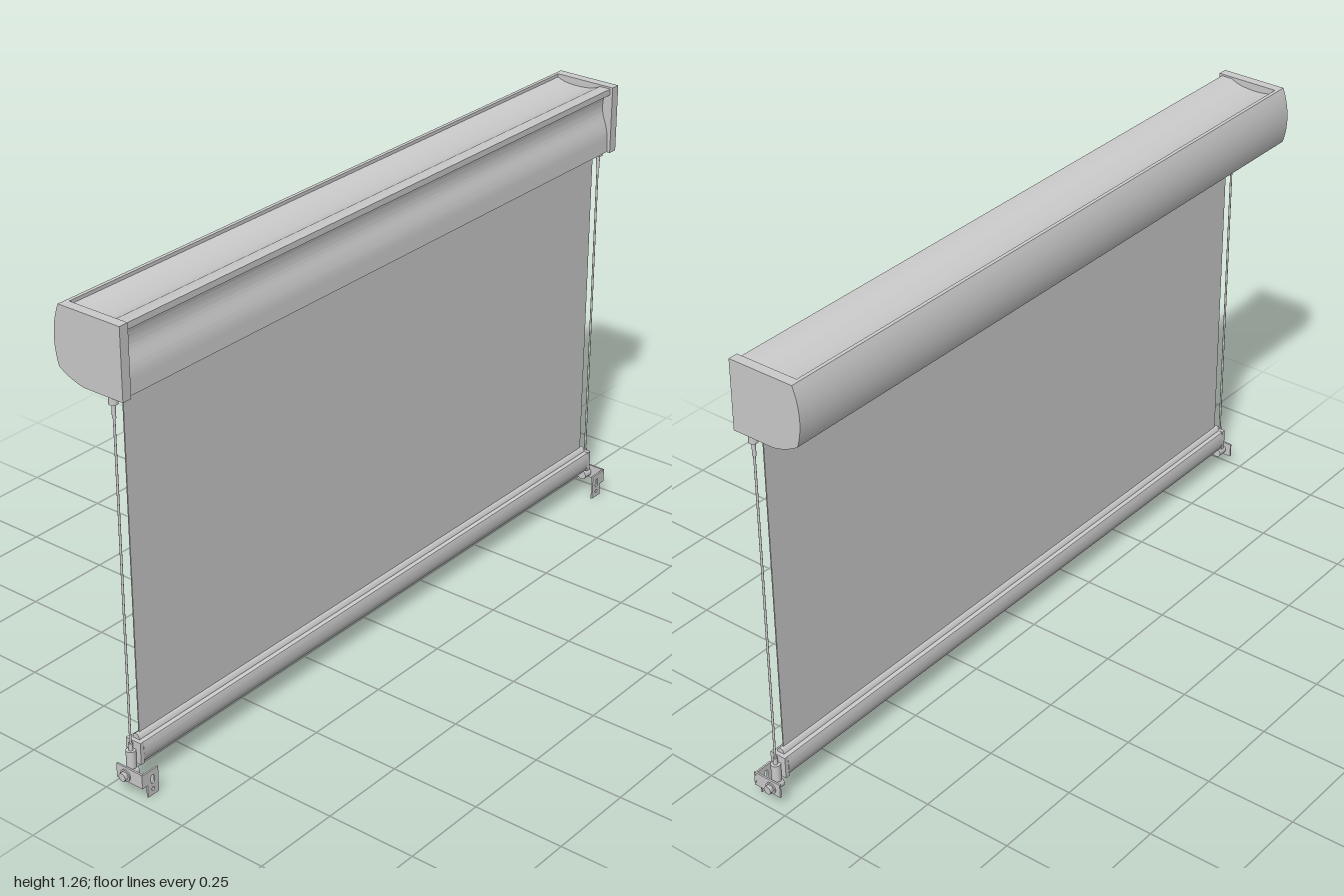
import * as THREE from 'three';
import { toCreasedNormals } from 'three/addons/utils/BufferGeometryUtils.js';

const material = new THREE.MeshStandardMaterial({ color: 0xcccccc, side: THREE.DoubleSide });

function add(parent, name, geometry, x = 0, y = 0, z = 0) {
  const mesh = new THREE.Mesh(geometry, material);
  mesh.name = name;
  mesh.position.set(x, y, z);
  parent.add(mesh);
  return mesh;
}

// Extrudes a side outline (drawn with -z to the right, y up) along x.
function extrudeX(shape, x0, x1) {
  const g = new THREE.ExtrudeGeometry(shape, { depth: x1 - x0, bevelEnabled: false, curveSegments: 16 });
  g.rotateY(Math.PI / 2).translate(x0, 0, 0);
  return toCreasedNormals(g, 0.5);
}

// Curved fascia from the top rear corner down to the underside.
function fascia(shape) {
  shape.lineTo(0.09, 1.265);
  shape.bezierCurveTo(0.113, 1.21, 0.113, 1.155, 0.097, 1.107);
  shape.quadraticCurveTo(0.06, 1.082, 0.02, 1.076);
}

// Solid end plate outline
function endOutline() {
  const s = new THREE.Shape();
  s.moveTo(-0.1, 1.076);
  s.lineTo(-0.1, 1.265);
  fascia(s);
  s.closePath();
  return s;
}

// Cassette outline: hollowed top and a shallow moulded mounting face
function cassetteOutline() {
  const s = new THREE.Shape();
  s.moveTo(-0.092, 1.078);
  s.lineTo(-0.09, 1.11);
  s.bezierCurveTo(-0.088, 1.16, -0.07, 1.17, -0.07, 1.205);
  s.quadraticCurveTo(-0.07, 1.23, -0.078, 1.243);
  s.lineTo(-0.092, 1.243);
  s.lineTo(-0.092, 1.26);
  s.lineTo(-0.058, 1.26);
  s.bezierCurveTo(-0.03, 1.24, 0.055, 1.24, 0.08, 1.256);
  s.lineTo(0.08, 1.265);
  fascia(s);
  s.closePath();
  return s;
}

// Weighted bar: rounded body with a narrow fabric grip on top
function barOutline() {
  const c = -0.055, s = new THREE.Shape();
  s.moveTo(c - 0.017, 0.075);
  s.bezierCurveTo(c - 0.027, 0.09, c - 0.027, 0.12, c - 0.022, 0.135);
  s.lineTo(c - 0.011, 0.137);
  s.quadraticCurveTo(c - 0.01, 0.15, c, 0.151);
  s.quadraticCurveTo(c + 0.01, 0.15, c + 0.011, 0.137);
  s.lineTo(c + 0.022, 0.135);
  s.bezierCurveTo(c + 0.027, 0.12, c + 0.027, 0.09, c + 0.017, 0.075);
  s.closePath();
  return s;
}

// Mounting flange with a slot and a screw hole
function flangeGeometry() {
  const s = new THREE.Shape();
  s.moveTo(0.93, 0.003);
  s.lineTo(0.968, 0.003);
  s.lineTo(0.968, 0.035);
  s.lineTo(0.987, 0.035);
  s.lineTo(0.987, 0.073);
  s.lineTo(0.93, 0.073);
  s.closePath();
  const slot = new THREE.Path();
  slot.absarc(0.95, 0.052, 0.006, 0, Math.PI, false);
  slot.absarc(0.95, 0.038, 0.006, Math.PI, 2 * Math.PI, false);
  slot.closePath();
  const hole = new THREE.Path();
  hole.absarc(0.95, 0.017, 0.005, 0, 2 * Math.PI, false);
  s.holes.push(slot, hole);
  return new THREE.ExtrudeGeometry(s, { depth: 0.005, bevelEnabled: false });
}

// Cable, fittings and floor bracket for one side
function addSide(root, side) {
  const g = new THREE.Group();
  g.name = side > 0 ? 'leftGuide' : 'rightGuide';
  const z = 0.055, x = 0.965;
  const rod = (name, r, y0, y1) =>
    add(g, name, new THREE.CylinderGeometry(r, r, y1 - y0, 20), x, (y0 + y1) / 2, z);
  const axle = (name, r, x0, x1, sides = 24) => {
    const geo = new THREE.CylinderGeometry(r, r, x1 - x0, sides).rotateZ(Math.PI / 2);
    return add(g, name, geo, (x0 + x1) / 2, 0.052, z);
  };

  add(g, 'endPlate', extrudeX(endOutline(), 0.953, 0.98));
  rod('guideCable', 0.003, 0.1, 1.08);
  rod('upperCollar', 0.012, 1.055, 1.08);
  rod('upperFerrule', 0.005, 1.018, 1.056);
  rod('lowerFerrule', 0.006, 0.11, 0.135);
  rod('cableTensioner', 0.013, 0.066, 0.115);

  // Bar end cap
  add(g, 'barEndCap', new THREE.BoxGeometry(0.012, 0.062, 0.048), 0.95, 0.106, z);

  // Angle bracket
  add(g, 'bracketArm', new THREE.BoxGeometry(0.005, 0.04, 0.085), 0.984, 0.055, 0.0675);
  add(g, 'bracketFlange', flangeGeometry(), 0, 0, 0.105);
  add(g, 'bracketFoot', new THREE.BoxGeometry(0.038, 0.003, 0.005), 0.949, 0.0015, 0.1075);

  // Clamp and bolt holding the cable
  axle('clamp', 0.014, 0.952, 0.982);
  axle('washer', 0.016, 0.986, 0.99);
  axle('boltHead', 0.012, 0.99, 1.0, 6);

  g.scale.x = side;
  root.add(g);
}

export function createModel() {
  const root = new THREE.Group();
  root.name = 'rollerBlind';

  add(root, 'cassette', extrudeX(cassetteOutline(), -0.954, 0.954));
  add(root, 'fabric', new THREE.BoxGeometry(1.87, 0.95, 0.003), 0, 0.615, 0.055);
  add(root, 'bottomBar', extrudeX(barOutline(), -0.945, 0.945));

  for (const side of [1, -1]) addSide(root, side);
  return root;
}
